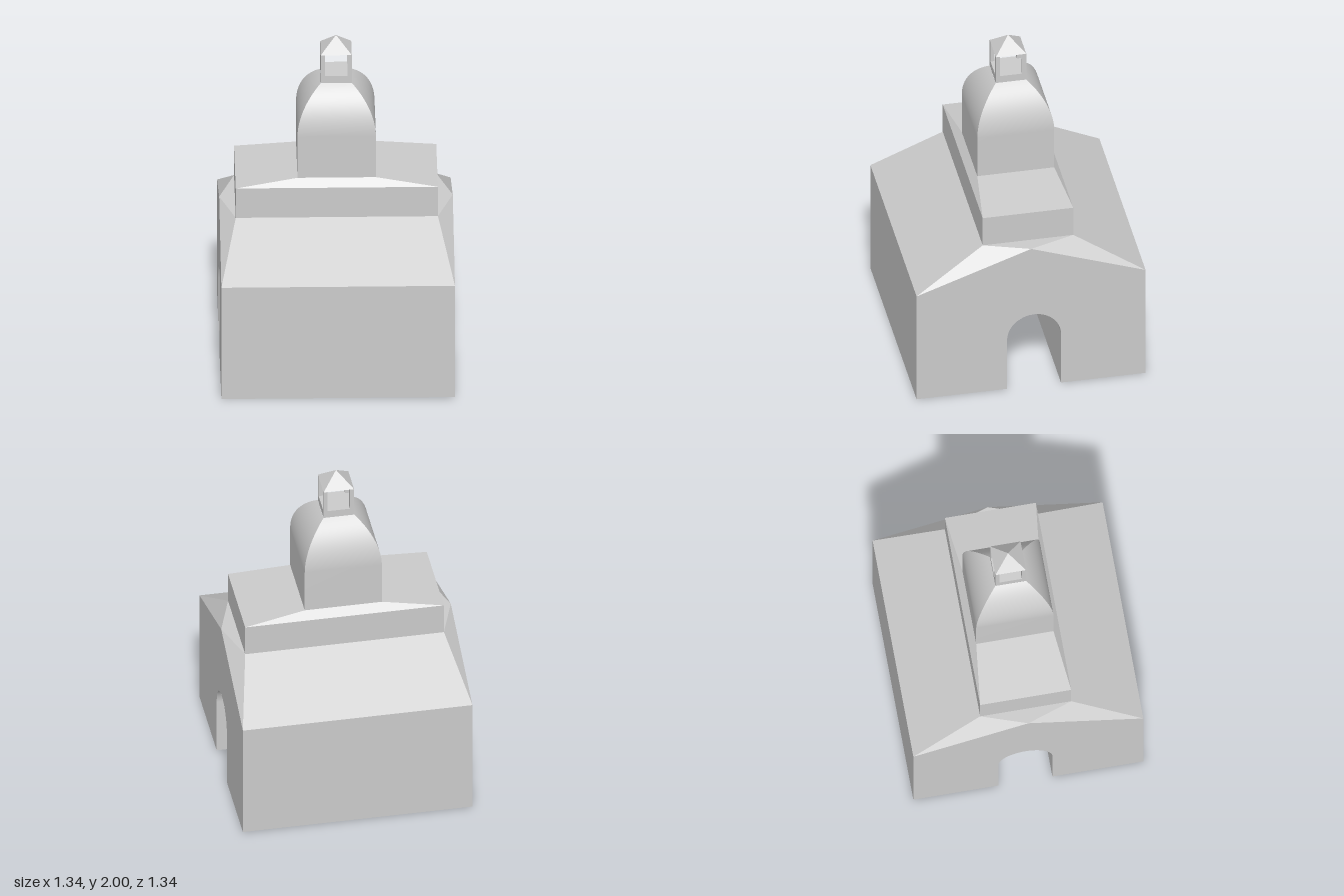
import * as THREE from 'three';

const material = new THREE.MeshStandardMaterial({ color: 0xcccccc });
const doubleSided = new THREE.MeshStandardMaterial({ color: 0xcccccc, side: THREE.DoubleSide });

function add(parent, name, geometry, mat = material) {
  const mesh = new THREE.Mesh(geometry, mat);
  mesh.name = name;
  parent.add(mesh);
  return mesh;
}

// Flat faces from convex polygons, corners counter-clockwise seen from outside
function facets(polygons) {
  const positions = [];
  for (const p of polygons) {
    for (let i = 1; i < p.length - 1; i++) positions.push(...p[0], ...p[i], ...p[i + 1]);
  }
  const geometry = new THREE.BufferGeometry();
  geometry.setAttribute('position', new THREE.Float32BufferAttribute(positions, 3));
  geometry.computeVertexNormals();
  return geometry;
}

// Smooth band swept across x along a profile of [z, y] points
function strip(profile, halfWidth) {
  const geometry = new THREE.PlaneGeometry(2, 1, 1, profile.length - 1);
  const pos = geometry.attributes.position;
  for (let i = 0; i < pos.count; i++) {
    const [z, y] = profile[Math.floor(i / 2)];
    pos.setXYZ(i, pos.getX(i) * halfWidth(z), y, z);
  }
  geometry.computeVertexNormals();
  return geometry;
}

// Rectangular ring of corners and the four walls between two such rings
const ring = (x, z, y) => [[-x, y, z], [x, y, z], [x, y, -z], [-x, y, -z]];
const walls = (a, b) => a.map((p, i) => [p, a[(i + 1) % 4], b[(i + 1) % 4], b[i]]);

const W = 0.67, EAVE = 0.72, RIDGE = 0.96;
const ATTIC_X = 0.58, ATTIC_Z = 0.265;
const ARCH_Z = -0.0175, ARCH_R = 0.1575, SPRING = 0.3425;

function createBody() {
  const body = new THREE.Group();
  body.name = 'body';

  // Front wall, roof slope, corner facets and ridge triangle; turned round for the back
  const half = facets([
    [[-W, 0, W], [W, 0, W], [W, EAVE, W], [-W, EAVE, W]],
    [[-W, EAVE, W], [W, EAVE, W], [ATTIC_X, RIDGE, ATTIC_Z], [-ATTIC_X, RIDGE, ATTIC_Z]],
    [[W, EAVE, W], [W, RIDGE, 0], [ATTIC_X, RIDGE, ATTIC_Z]],
    [[-W, EAVE, W], [-ATTIC_X, RIDGE, ATTIC_Z], [-W, RIDGE, 0]],
    [[ATTIC_X, RIDGE, ATTIC_Z], [W, RIDGE, 0], [ATTIC_X, RIDGE, -ATTIC_Z]],
  ]);
  add(body, 'frontWallAndRoof', half);
  add(body, 'backWallAndRoof', half).rotation.y = Math.PI;

  // Gable ends with the archway cut out
  for (const side of [1, -1]) {
    const c = -side * ARCH_Z;
    const shape = new THREE.Shape();
    shape.moveTo(-W, 0);
    shape.lineTo(c - ARCH_R, 0);
    shape.lineTo(c - ARCH_R, SPRING);
    shape.absarc(c, SPRING, ARCH_R, Math.PI, 0, true);
    shape.lineTo(c + ARCH_R, 0);
    shape.lineTo(W, 0);
    shape.lineTo(W, EAVE);
    shape.lineTo(0, RIDGE);
    shape.lineTo(-W, EAVE);
    const gable = add(body, side > 0 ? 'leftGable' : 'rightGable', new THREE.ShapeGeometry(shape, 24));
    gable.rotation.y = side * Math.PI / 2;
    gable.position.x = side * W;
  }

  // Passage running through the body
  const profile = [[ARCH_Z + ARCH_R, 0]];
  for (let i = 0; i <= 24; i++) {
    const a = Math.PI * i / 24;
    profile.push([ARCH_Z + ARCH_R * Math.cos(a), SPRING + ARCH_R * Math.sin(a)]);
  }
  profile.push([ARCH_Z - ARCH_R, 0]);
  add(body, 'archPassage', strip(profile, () => W), doubleSided);

  // Undersides on both sides of the passage
  const floor = (z0, z1) => [[-W, 0, z0], [W, 0, z0], [W, 0, z1], [-W, 0, z1]];
  add(body, 'underside', facets([floor(-W, ARCH_Z - ARCH_R), floor(ARCH_Z + ARCH_R, W)]));
  return body;
}

function createDome() {
  const dome = new THREE.Group();
  dome.name = 'dome';
  // Four curved sides meeting at sharp corners, each with a straight drum below
  const R = 0.347, end = Math.asin(0.275 / R), profile = [];
  for (let i = 16; i >= 0; i--) {
    const a = end * i / 16;
    profile.push([0.225 - R + R * Math.cos(a), 1.46 + R * Math.sin(a)]);
  }
  profile.push([0.225, 1.195]);
  const side = strip(profile, z => z);
  for (let i = 0; i < 4; i++) add(dome, 'domeSide', side).rotation.y = i * Math.PI / 2;
  return dome;
}

function createLantern() {
  const lantern = new THREE.Group();
  lantern.name = 'lantern';
  add(lantern, 'lanternBase', new THREE.BoxGeometry(0.178, 0.045, 0.178)).position.y = 1.7575;
  const post = new THREE.BoxGeometry(0.024, 0.135, 0.024);
  for (const x of [-1, 1]) {
    for (const z of [-1, 1]) add(lantern, 'lanternPost', post).position.set(x * 0.077, 1.8475, z * 0.077);
  }
  const roof = new THREE.ConeGeometry(0.089 * Math.SQRT2, 0.085, 4).rotateY(Math.PI / 4).toNonIndexed();
  roof.computeVertexNormals();
  add(lantern, 'lanternRoof', roof).position.y = 1.9575;
  return lantern;
}

export function createModel() {
  const model = new THREE.Group();
  model.name = 'chapel';
  model.add(createBody());

  // Raised block with a shallow sloping top
  const low = ring(ATTIC_X, ATTIC_Z, RIDGE);
  const high = ring(ATTIC_X, ATTIC_Z, 1.15);
  const top = ring(0.225, 0.225, 1.195);
  add(model, 'attic', facets(walls(low, high)));
  add(model, 'atticRoof', facets(walls(high, top)));

  model.add(createDome(), createLantern());
  return model;
}
